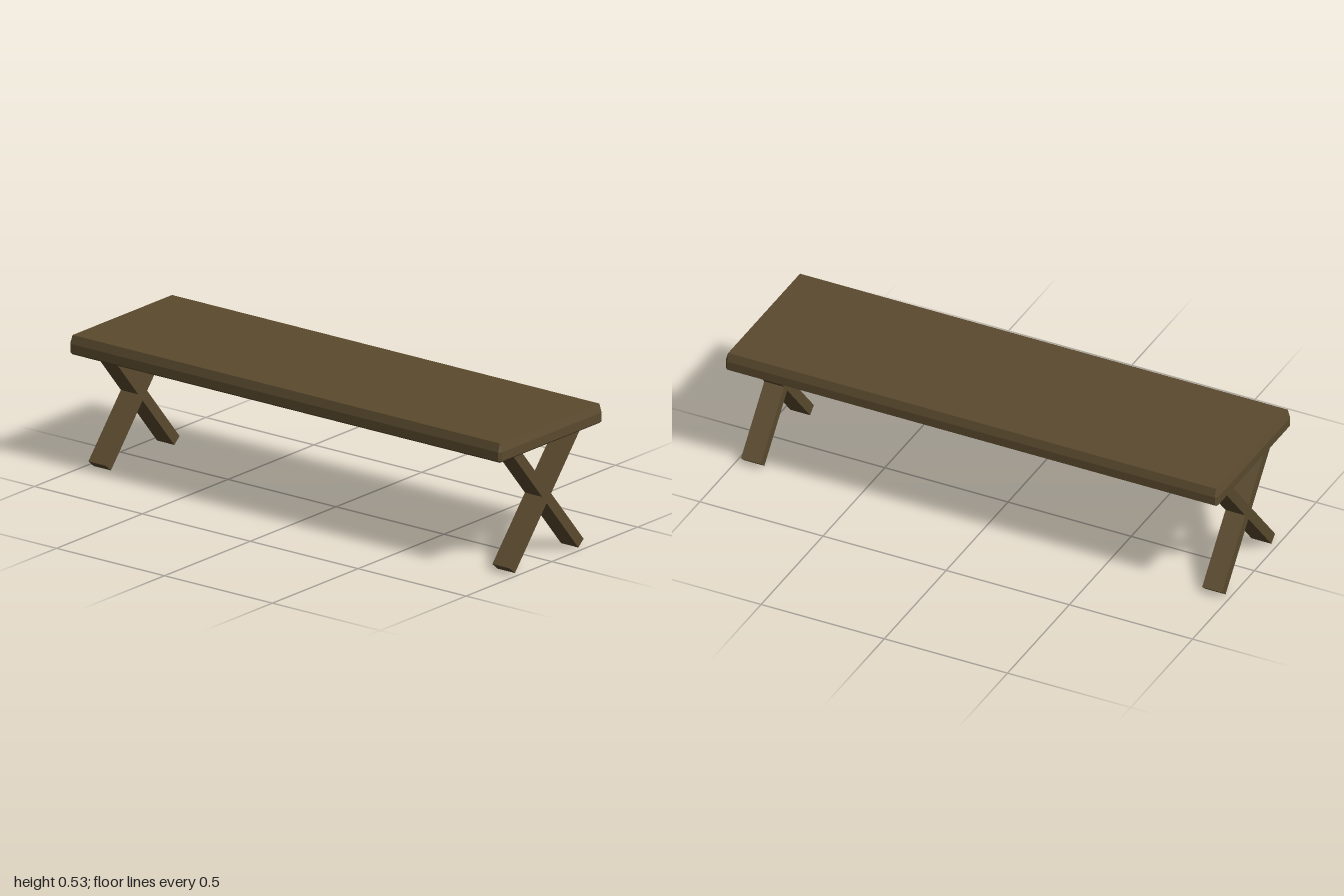
import * as THREE from 'three';
import { ConvexGeometry } from 'three/addons/geometries/ConvexGeometry.js';

export function createModel() {
  const group = new THREE.Group();
  const wood = new THREE.MeshStandardMaterial({ color: 0x5a4a2e });
  wood.name = 'dark wood';

  // Table top: a slab with bevelled edges and clipped vertical corners
  const points = [];
  const bevel = 0.01;
  for (const sx of [-1, 1]) {
    for (const sz of [-1, 1]) {
      const inX = sx * (1 - bevel), inZ = sz * (0.3 - bevel);
      for (const y of [0.453, 0.527]) points.push(new THREE.Vector3(inX, y, inZ));
      for (const y of [0.461, 0.495]) {
        points.push(new THREE.Vector3(sx, y, inZ), new THREE.Vector3(inX, y, sz * 0.3));
      }
    }
  }
  const top = new THREE.Mesh(new ConvexGeometry(points), wood);
  top.name = 'tableTop';
  group.add(top);

  // Crossed legs: two tilted beams at each end
  const beam = new THREE.BoxGeometry(0.08, 0.62, 0.04);
  for (const side of [-1, 1]) {
    const trestle = new THREE.Group();
    trestle.name = side > 0 ? 'leftCrossLegs' : 'rightCrossLegs';
    trestle.position.set(side * 0.936, 0.25, 0);
    for (const tilt of [-1, 1]) {
      const leg = new THREE.Mesh(beam, wood);
      leg.name = tilt > 0 ? 'legLeaningForward' : 'legLeaningBack';
      leg.rotation.x = tilt * 0.702;
      trestle.add(leg);
    }
    group.add(trestle);
  }
  return group;
}
